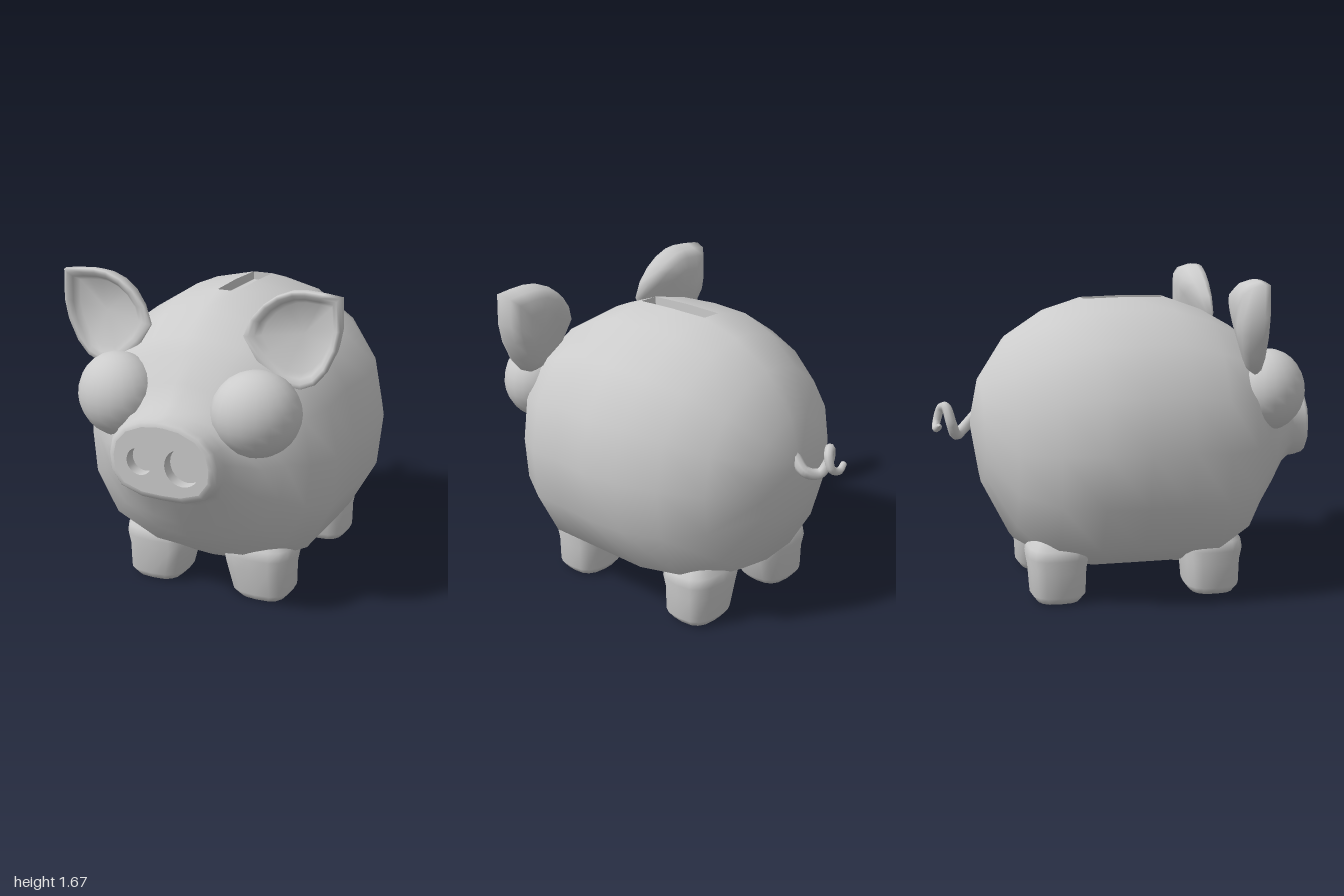
import * as THREE from 'three';
import { mergeVertices } from 'three/addons/utils/BufferGeometryUtils.js';

const V = (x, y, z) => new THREE.Vector3(x, y, z);
const grey = new THREE.MeshStandardMaterial({ color: 0xcccccc });
const greyFlat = new THREE.MeshStandardMaterial({ color: 0xcccccc, flatShading: true, side: THREE.DoubleSide });
const greyDouble = new THREE.MeshStandardMaterial({ color: 0xcccccc, side: THREE.DoubleSide });

// Skin closed rings of points; skip(i, j) leaves a cell open.
function loft(rings, skip = () => false) {
  const n = rings[0].length, index = [];
  for (let i = 0; i < rings.length - 1; i++) {
    for (let j = 0; j < n; j++) {
      if (skip(i, j)) continue;
      const k = (j + 1) % n, a = i * n, b = a + n;
      index.push(a + j, b + j, a + k, b + j, b + k, a + k);
    }
  }
  let geo = new THREE.BufferGeometry().setFromPoints(rings.flat());
  geo.setIndex(index);
  geo = mergeVertices(geo, 1e-5);
  geo.computeVertexNormals();
  return geo;
}

function add(parent, name, geo, material = grey) {
  const mesh = new THREE.Mesh(geo, material);
  mesh.name = name;
  parent.add(mesh);
  return mesh;
}

// Body and snout: one loft from tail end to nose, with a coin slot on top.
function buildBody(group) {
  const sections = [ // z, half width, top, bottom, upper and lower corner fullness
    [-0.8, 0, 0.9, 0.9, 0, 0], [-0.745, 0.28, 1.13, 0.57, 0, 0], [-0.6, 0.5, 1.35, 0.28, 0, 0.06],
    [-0.4, 0.63, 1.48, 0.17, 0, 0.1], [-0.19, 0.71, 1.545, 0.125, 0.01, 0.07],
    [0.03, 0.735, 1.55, 0.12, 0.02, 0.05], [0.255, 0.71, 1.545, 0.125, 0.01, 0.07],
    [0.45, 0.69, 1.475, 0.15, 0.02, 0.1], [0.61, 0.61, 1.385, 0.25, 0.05, 0.1],
    [0.7, 0.52, 1.32, 0.35, 0.04, 0.03], [0.78, 0.43, 1.2, 0.45, 0, 0],
    [0.86, 0.335, 1.11, 0.6, 0, 0.04], [0.91, 0.298, 1.085, 0.655, 0.02, 0.1],
    [0.975, 0.29, 1.078, 0.665, 0.03, 0.12], [0.995, 0.275, 1.065, 0.68, 0.03, 0.12],
    [1, 0.255, 1.045, 0.7, 0.03, 0.12],
  ];
  const angles = [0.076];
  for (let k = 1; k < 16; k++) angles.push(k * Math.PI / 8);
  angles.push(Math.PI * 2 - 0.076);
  const rings = sections.map(([z, rx, top, bottom, upper, lower]) => angles.map(a => {
    const s = 1 + (Math.cos(a) > 0 ? upper : lower) * Math.sin(2 * a) ** 2;
    return V(rx * s * Math.sin(a), (top + bottom) / 2 + (top - bottom) / 2 * s * Math.cos(a), z);
  }));
  const last = angles.length - 1;
  add(group, 'body', loft(rings, (i, j) => j === last && (i === 4 || i === 5)));

  // Coin slot walls and floor
  const rim = [rings[4][last], rings[4][0], rings[5][0], rings[6][0], rings[6][last], rings[5][last]];
  const floor = rim.map(p => V(p.x, 1.5, p.z));
  add(group, 'coinSlot', loft([rim, floor, floor.map(() => V(0, 1.5, 0.03))]), greyFlat);

  // Flat snout face with two sunken nostrils of different size
  const face = new THREE.Shape(rings[rings.length - 1].map(p => new THREE.Vector2(p.x, p.y)));
  for (const [name, x, r] of [['rightNostril', -0.115, 0.069], ['leftNostril', 0.115, 0.094]]) {
    face.holes.push(new THREE.Path().absarc(x, 0.857, r, 0, Math.PI * 2, true));
    const nostril = new THREE.Group();
    nostril.name = name;
    nostril.position.set(x, 0.857, 0.94);
    group.add(nostril);
    add(nostril, 'nostrilWall', new THREE.CylinderGeometry(r, r, 0.06, 24, 1, true)
      .rotateX(Math.PI / 2).translate(0, 0, 0.03), greyDouble);
    add(nostril, 'nostrilFloor', new THREE.CircleGeometry(r, 24));
  }
  add(group, 'snoutFace', new THREE.ShapeGeometry(face, 12).translate(0, 0, 1));
}

// Ear: a rounded back and a hollow front inside a thick rim, thinning toward the head.
function earGeometry() {
  const outline = [
    [0.25, 1.42], [0.285, 1.51], [0.35, 1.585], [0.42, 1.635], [0.5, 1.667], [0.57, 1.675],
    [0.66, 1.67], [0.745, 1.66], [0.75, 1.5], [0.73, 1.4], [0.68, 1.29], [0.62, 1.22],
    [0.55, 1.19], [0.44, 1.2], [0.32, 1.31],
  ];
  const cx = 0.54, cy = 1.45, front = 0.612;
  const layers = [ // scale about the centre, z
    [0, 0.475], [0.45, 0.475], [0.75, 0.485], [0.92, 0.52], [1, 0.58],
    [0.985, 0.608], [0.9, 0.608], [0.8, 0.59], [0.7, 0.555], [0, 0.535],
  ];
  return loft(layers.map(([s, z]) => outline.map(([ox, oy]) => {
    const x = cx + (ox - cx) * s, y = cy + (oy - cy) * s;
    const thickness = THREE.MathUtils.clamp(0.4 + 2.6 * ((x - 0.4) * 0.65 + (y - 1.3) * 0.76), 0.4, 1);
    return V(x, y, front - (front - z) * thickness);
  })));
}

// Leg: stubby rounded-square column with a bevelled foot, domed into the belly.
function legGeometry(side) {
  const layers = [ // y, centre x, half width, half depth
    [0, 0.305, 0, 0], [0, 0.305, 0.125, 0.115], [0.04, 0.302, 0.16, 0.145],
    [0.17, 0.285, 0.18, 0.152], [0.24, 0.285, 0.192, 0.165], [0.29, 0.285, 0.185, 0.155],
    [0.36, 0.28, 0.13, 0.1],
  ];
  const round = t => Math.sign(t) * Math.pow(Math.abs(t), 0.7);
  return loft(layers.map(([y, cx, hx, hz]) => Array.from({ length: 16 }, (_, k) => {
    const a = k * Math.PI / 8;
    return V(side * cx + hx * round(Math.cos(a)), y, hz * round(Math.sin(a)));
  })));
}

// Tail: curly tube thinning to its tip.
function tailGeometry() {
  const path = new THREE.CatmullRomCurve3([
    V(0.01, 0.94, -0.76), V(0.005, 0.865, -0.83), V(-0.06, 0.845, -0.875), V(-0.1, 0.91, -0.9),
    V(-0.07, 0.995, -0.925), V(-0.025, 0.98, -0.95), V(-0.025, 0.91, -0.973), V(-0.08, 0.885, -0.98),
    V(-0.145, 0.91, -0.965),
  ]);
  const steps = 48, sides = 8;
  const geo = new THREE.TubeGeometry(path, steps, 0.03, sides);
  const pos = geo.attributes.position, p = V(0, 0, 0);
  for (let i = 0; i < pos.count; i++) {
    const t = Math.floor(i / (sides + 1)) / steps, c = path.getPointAt(t);
    p.fromBufferAttribute(pos, i).sub(c).multiplyScalar(t === 1 ? 0 : 1 - 0.45 * t * t).add(c);
    pos.setXYZ(i, p.x, p.y, p.z);
  }
  return geo;
}

export function createModel() {
  const group = new THREE.Group();
  group.name = 'piggyBank';
  buildBody(group);

  const ear = earGeometry();
  for (const [label, side] of [['left', 1], ['right', -1]]) {
    add(group, label + 'Ear', ear).scale.x = side;

    // Bulging eye, slightly flattened and turned outward
    const eye = add(group, label + 'Eye', new THREE.SphereGeometry(1, 20, 14));
    eye.scale.set(0.222, 0.214, 0.195);
    eye.position.set(side * 0.376, 1.082, 0.725);
    eye.rotation.y = side * 0.4;

    add(group, label + 'FrontLeg', legGeometry(side)).position.z = 0.445;
    add(group, label + 'BackLeg', legGeometry(side)).position.z = -0.385;
  }

  add(group, 'tail', tailGeometry());
  return group;
}
